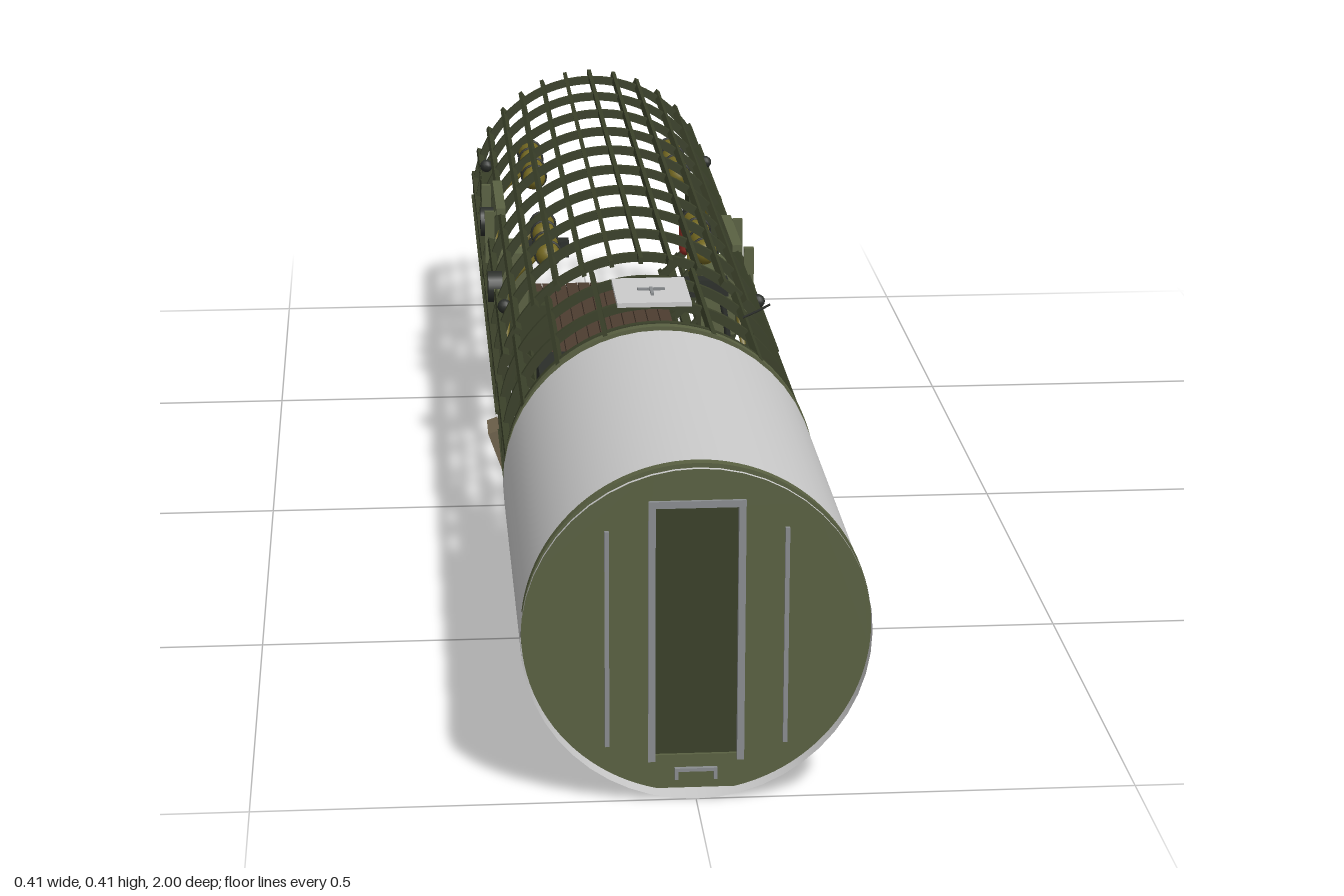
import * as THREE from 'three';

const CY = 0.204, R = 0.195;
const OLIVE = 0x5a6142, DARK = 0x3a4029, BLACK = 0x2b2e2a, BROWN = 0x4d3d30, TAN = 0x6e624c, YELLOW = 0x766a22, STEEL = 0x8a8d90;
const mats = {};
const mat = (c) => (mats[c] ??= new THREE.MeshStandardMaterial({ color: c, side: THREE.DoubleSide }));

export function createModel() {
  const model = new THREE.Group();
  const add = (name, geo, color, x = 0, y = 0, z = 0, parent = model) => {
    const m = new THREE.Mesh(geo, mat(color));
    m.name = name;
    m.position.set(x, y, z);
    parent.add(m);
    return m;
  };
  const box = (name, color, [w, h, d], [x, y, z], parent) =>
    add(name, new THREE.BoxGeometry(w, h, d), color, x, y, z, parent);
  const rod = (name, color, points, r, parent) => add(name,
    new THREE.TubeGeometry(new THREE.CatmullRomCurve3(points.map((p) => new THREE.Vector3(...p))), 12, r, 6), color, 0, 0, 0, parent);
  const group = (name) => {
    const g = new THREE.Group();
    g.name = name;
    model.add(g);
    return g;
  };

  // Closed forward skin
  const skin = new THREE.CylinderGeometry(0.196, 0.196, 0.53, 48, 1, true).rotateX(Math.PI / 2);
  add('forwardSkin', skin, 0xcccccc, 0, CY - 0.006, 0.735);

  // Disc with a flat bottom edge and an optional doorway
  const bulkhead = (name, z, open) => {
    const s = new THREE.Shape();
    const a = Math.asin(-0.19 / R);
    s.absarc(0, 0, R, a, Math.PI - a, false);
    s.closePath();
    if (open) {
      const h = new THREE.Path();
      h.moveTo(-0.05, -0.15);
      h.lineTo(-0.05, 0.145);
      h.lineTo(0.05, 0.145);
      h.lineTo(0.05, -0.15);
      h.closePath();
      s.holes.push(h);
    }
    add(name, new THREE.ExtrudeGeometry(s, { depth: 0.012, bevelEnabled: false, curveSegments: 48 }), OLIVE, 0, CY, z);
  };
  bulkhead('frontBulkhead', 0.983, true);
  bulkhead('rearBulkhead', 0.46, true);

  // Front door, its frame, grab rails and step
  const door = group('frontDoor');
  box('doorPanel', DARK, [0.1, 0.3, 0.008], [0, 0.2, 0.987], door);
  for (const s of [-1, 1]) {
    box('doorJamb', STEEL, [0.008, 0.305, 0.01], [s * 0.05, 0.2, 0.994], door);
    box('grabRail', STEEL, [0.005, 0.255, 0.005], [s * 0.1, 0.195, 0.997], door);
    box('stepPost', STEEL, [0.004, 0.012, 0.006], [s * 0.022, 0.031, 0.996], door);
  }
  box('doorLintel', STEEL, [0.108, 0.008, 0.01], [0, 0.352, 0.994], door);
  box('stepBar', STEEL, [0.048, 0.004, 0.006], [0, 0.037, 0.997], door);

  // Rear door swung open, and the bulkhead panel beside it
  box('openDoor', OLIVE, [0.01, 0.3, 0.085], [0.055, 0.2, 0.42]);
  box('bulkheadPanel', 0xcccccc, [0.05, 0.06, 0.01], [-0.1, 0.23, 0.455]);
  box('bulkheadCabinet', BLACK, [0.07, 0.12, 0.03], [0.1, 0.2, 0.44]);

  // Ring frames, open below the floor
  const LOW = -0.9, SPAN = Math.PI - 2 * LOW;
  const ringShape = new THREE.Shape();
  ringShape.absarc(0, 0, 0.193, LOW, LOW + SPAN, false);
  ringShape.absarc(0, 0, 0.181, LOW + SPAN, LOW, true);
  ringShape.closePath();
  const ringGeo = new THREE.ExtrudeGeometry(ringShape, { depth: 0.008, bevelEnabled: false, curveSegments: 40 });
  const frame = group('airframe');
  for (let i = 0; i < 10; i++) add('rearRing', ringGeo, DARK, 0, CY, -0.964 + i * 0.12, frame);
  for (const z of [0.23, 0.34, 0.44]) add('forwardRing', ringGeo, DARK, 0, CY, z, frame);

  // Lengthwise stringers
  const stringers = (name, count, z0, z1, clearRoof) => {
    for (let i = 0; i <= count; i++) {
      const a = LOW + (SPAN * i) / count;
      if (clearRoof && Math.abs(a - Math.PI / 2) < 0.2) continue;
      const m = box(name, DARK, [0.009, 0.006, z1 - z0],
        [Math.cos(a) * 0.191, CY + Math.sin(a) * 0.191, (z0 + z1) / 2], frame);
      m.rotation.z = a;
    }
  };
  stringers('rearStringer', 24, -1, 0.155, false);
  stringers('forwardStringer', 14, 0.167, 0.47, true);

  // Floor planks, underside and edge rails
  const floor = group('floor');
  for (let i = 0; i < 12; i++) box('floorPlank', BROWN, [0.0185, 0.006, 1.155], [-0.11 + i * 0.02, 0.034, -0.4225], floor);
  box('forwardFloor', BROWN, [0.24, 0.006, 0.3], [0, 0.034, 0.317], floor);
  box('floorUnderside', 0x2e251f, [0.2, 0.004, 1.155], [0, 0.028, -0.4225], floor);
  for (const s of [-1, 1]) {
    box('floorRail', DARK, [0.025, 0.003, 1.155], [s * 0.107, 0.022, -0.4225], floor);
    box('railWeb', DARK, [0.004, 0.012, 1.155], [s * 0.107, 0.028, -0.4225], floor);
    box('floorEdge', DARK, [0.014, 0.01, 1.155], [s * 0.135, 0.055, -0.4225], floor);
  }

  // Roof hatch with cross handle
  const hatch = group('roofHatch');
  box('hatchCover', 0xcccccc, [0.094, 0.006, 0.115], [0, 0.402, 0.33], hatch);
  box('hatchHandle', STEEL, [0.035, 0.004, 0.004], [0, 0.406, 0.33], hatch);
  box('hatchHandle', STEEL, [0.004, 0.004, 0.03], [0, 0.406, 0.34], hatch);
  rod('aerial', BLACK, [[0.12, 0.36, 0.31], [0.14, 0.369, 0.31], [0.155, 0.377, 0.31]], 0.0015);

  // Radio room: desks, equipment stacks and chair
  const radio = group('radioRoom');
  box('leftDesk', DARK, [0.07, 0.01, 0.14], [0.11, 0.17, 0.32], radio);
  for (const z of [0.26, 0.38]) box('deskLeg', DARK, [0.06, 0.13, 0.008], [0.11, 0.1, z], radio);
  box('leftRadio', BLACK, [0.06, 0.08, 0.06], [0.12, 0.22, 0.36], radio);
  box('leftReceiver', OLIVE, [0.05, 0.05, 0.06], [0.12, 0.2, 0.27], radio);
  box('rightRack', BLACK, [0.06, 0.1, 0.1], [-0.12, 0.1, 0.33], radio);
  box('rightRadio', DARK, [0.06, 0.07, 0.11], [-0.12, 0.21, 0.33], radio);
  box('rightShelf', BLACK, [0.05, 0.04, 0.1], [-0.12, 0.29, 0.33], radio);
  box('chairSeat', TAN, [0.06, 0.012, 0.06], [0.03, 0.11, 0.28], radio);
  box('chairBack', TAN, [0.06, 0.06, 0.01], [0.03, 0.16, 0.25], radio);
  add('chairPost', new THREE.CylinderGeometry(0.008, 0.02, 0.07, 12), BLACK, 0.03, 0.07, 0.28, radio);

  for (const s of [-1, 1]) {
    const side = group(s > 0 ? 'leftWall' : 'rightWall');
    // Tilted wall panels
    box('tiltedPanel', TAN, [0.015, 0.055, 0.06], [s * 0.188, 0.13, 0.11], side).rotation.z = -s * 0.34;
    // Oxygen bottles
    for (const z of [-0.15, -0.26, -0.59, -0.7]) {
      const b = add('oxygenBottle', new THREE.CapsuleGeometry(0.017, 0.066, 6, 14), YELLOW, s * 0.11, 0.33, z, side);
      b.rotation.x = Math.PI / 2;
      for (const d of [-0.025, 0.025]) add('bottleStrap', new THREE.TorusGeometry(0.018, 0.002, 5, 16), BLACK, s * 0.11, 0.33, z + d, side);
    }
    // Window frame with gun mount, staggered between the walls
    const wz = s > 0 ? -0.29 : -0.52;
    for (const d of [-1, 1]) {
      box('windowPost', OLIVE, [0.014, 0.12, 0.01], [s * 0.182, 0.25, wz + d * 0.08], side);
      box('windowRail', OLIVE, [0.014, 0.01, 0.17], [s * (d > 0 ? 0.165 : 0.185), 0.25 + d * 0.06, wz], side);
    }
    box('gunReceiver', BLACK, [0.1, 0.025, 0.025], [s * 0.11, 0.23, wz], side);
    rod('gunPost', BLACK, [[s * 0.16, 0.11, wz], [s * 0.16, 0.16, wz], [s * 0.15, 0.22, wz]], 0.005, side);
    // Ammunition boxes and feed belt
    const az = s > 0 ? -0.37 : -0.48;
    box('ammoBox', OLIVE, [0.05, 0.1, 0.085], [s * 0.15, 0.195, az], side);
    rod('feedBelt', YELLOW, [[s * 0.14, 0.24, az], [s * 0.11, 0.27, (az + wz) / 2], [s * 0.11, 0.24, wz]], 0.006, side);
    box('floorBox', DARK, [0.05, 0.08, 0.08], [s * 0.11, 0.09, s > 0 ? -0.34 : -0.59], side);
    // Regulators, hoses and lamps
    for (const z of [-0.16, -0.65]) {
      box('regulator', OLIVE, [0.02, 0.04, 0.025], [s * 0.175, 0.25, z], side);
      rod('oxygenHose', YELLOW, [[s * 0.12, 0.32, z], [s * 0.16, 0.28, z], [s * 0.165, 0.22, z - 0.02], [s * 0.17, 0.18, z]], 0.004, side);
    }
    for (const z of [-0.02, -0.82]) add('lamp', new THREE.SphereGeometry(0.01, 10, 8), BLACK, s * 0.175, 0.285, z, side);
  }

  // Loose equipment
  box('leftLocker', DARK, [0.05, 0.1, 0.1], [0.14, 0.15, 0.05]);
  for (const s of [-1, 1]) box('floorLocker', DARK, [0.06, 0.08, 0.1], [s * 0.1, 0.09, 0.05]);
  box('rearLocker', DARK, [0.04, 0.12, 0.075], [0.16, 0.215, -0.75]);
  box('rightPack', DARK, [0.03, 0.1, 0.1], [-0.17, 0.22, -0.82]);
  for (const z of [-0.18, -0.54]) {
    const drum = add('cableDrum', new THREE.CylinderGeometry(0.022, 0.022, 0.02, 18), BLACK, -0.183, 0.268, z);
    drum.rotation.z = Math.PI / 2;
  }

  // Fire extinguisher
  const ext = group('fireExtinguisher');
  add('extinguisherBody', new THREE.CapsuleGeometry(0.01, 0.045, 5, 12), 0x8c2a22, 0.15, 0.145, -0.89, ext);
  box('extinguisherValve', BLACK, [0.008, 0.012, 0.016], [0.15, 0.184, -0.89], ext);

  return model;
}
